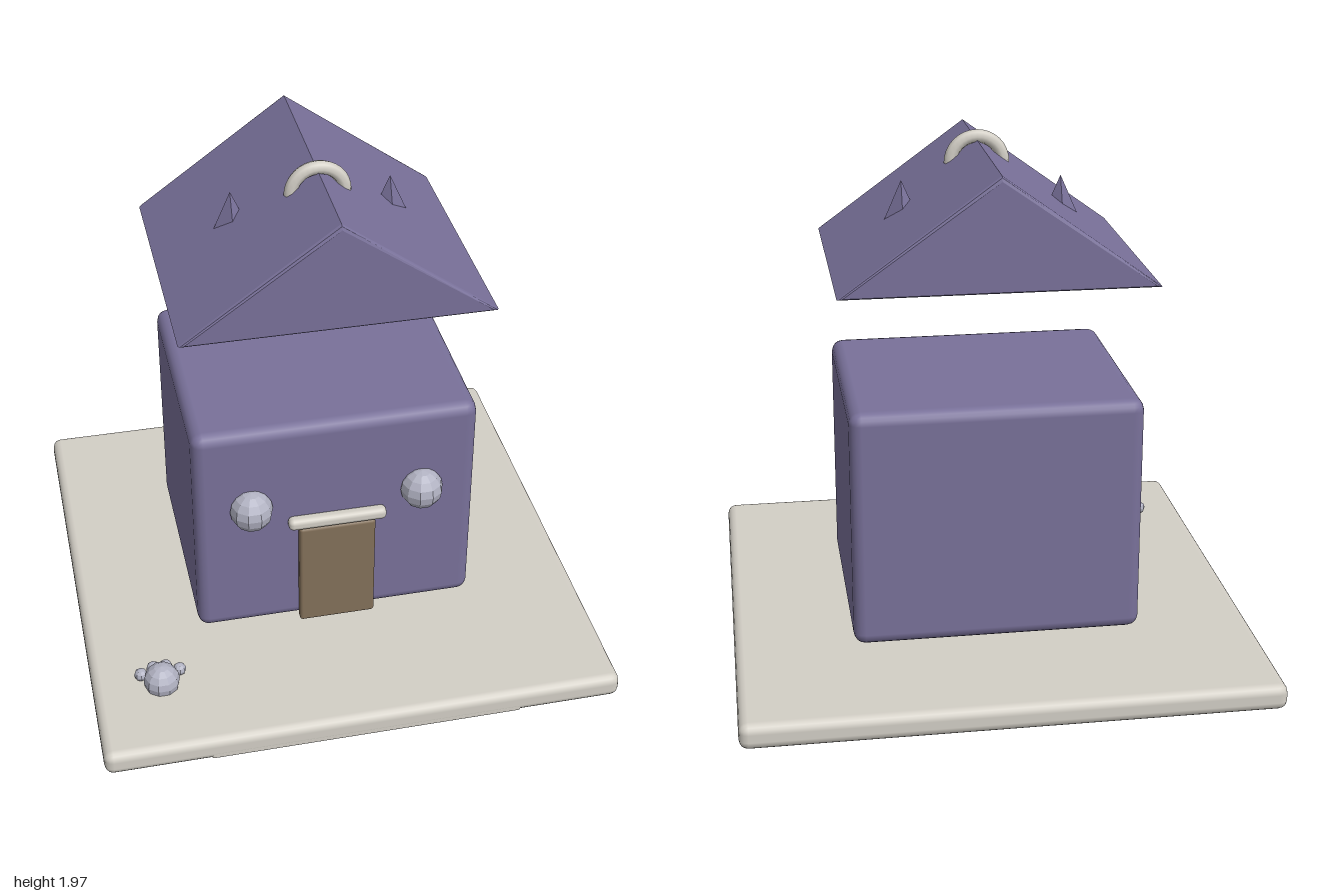
import * as THREE from 'three';
import { RoundedBoxGeometry } from 'three/addons/geometries/RoundedBoxGeometry.js';

export function createModel() {
  const model = new THREE.Group();
  model.name = 'floatingRoofHouse';

  const material = (name, color, flatShading = false) => {
    const m = new THREE.MeshStandardMaterial({ color, flatShading });
    m.name = name;
    return m;
  };
  const purple = material('purple', 0x79719a);
  const stone = material('paleStone', 0xd3cfc6);
  const grey = material('blueGrey', 0xb2b3c3);
  const brown = material('brown', 0x837059);
  grey.flatShading = true;

  const add = (name, geometry, mat, x, y, z, parent = model) => {
    const mesh = new THREE.Mesh(geometry, mat);
    mesh.name = name;
    mesh.position.set(x, y, z);
    parent.add(mesh);
    return mesh;
  };
  const block = (w, h, d, r) => new RoundedBoxGeometry(w, h, d, 2, r);

  // Ground slab with a low step at its front edge
  add('base', block(2, 0.1, 2, 0.035), stone, 0, 0.05, 0);
  add('frontStep', block(1.2, 0.03, 0.1, 0.008), stone, 0, 0.022, 0.949);

  // House body
  add('body', block(1.1, 0.93, 0.93, 0.045), purple, 0, 0.59, -0.047);

  // Door and lintel
  add('door', block(0.3, 0.465, 0.045, 0.012), brown, 0, 0.3575, 0.43);
  add('lintel', block(0.385, 0.05, 0.05, 0.02), stone, 0, 0.617, 0.437);

  // Floating gable roof with softened ends
  const gable = new THREE.Shape();
  gable.moveTo(-0.585, 0);
  gable.lineTo(0.585, 0);
  gable.lineTo(0, 0.425);
  gable.closePath();
  const bevel = 0.015;
  const roof = new THREE.ExtrudeGeometry(gable, {
    depth: 1.03 - 2 * bevel, bevelEnabled: true, bevelSize: bevel,
    bevelThickness: bevel, bevelOffset: -bevel, bevelSegments: 2,
  });
  add('roof', roof, purple, 0, 1.505, -0.56 + bevel);

  // Arched ring over the ridge
  add('ridgeRing', new THREE.TorusGeometry(0.1, 0.026, 8, 16, Math.PI), stone, 0, 1.843, 0.068);

  // Four-sided horns and round eyes on each side
  const horn = new THREE.ConeGeometry(0.088, 0.2, 4).toNonIndexed();
  horn.computeVertexNormals();
  const eye = new THREE.SphereGeometry(0.083, 10, 8);
  for (const [side, s] of [['left', 1], ['right', -1]]) {
    add(side + 'Horn', horn, purple, s * 0.302, 1.711, -0.053);
    add(side + 'Eye', eye, grey, s * 0.333, 0.705, 0.43);
  }

  // Paw resting on the slab, toes pointing back
  const paw = new THREE.Group();
  paw.name = 'paw';
  paw.position.set(-0.737, 0.125, 0.665);
  model.add(paw);
  add('pawPad', new THREE.SphereGeometry(0.07, 10, 8), grey, 0, 0, 0, paw);
  const toe = new THREE.SphereGeometry(0.026, 8, 6);
  [[-0.075, -0.043], [-0.024, -0.07], [0.024, -0.07], [0.075, -0.043]].forEach(([x, z], i) =>
    add('toe' + (i + 1), toe, grey, x, 0.002, z, paw));

  return model;
}
